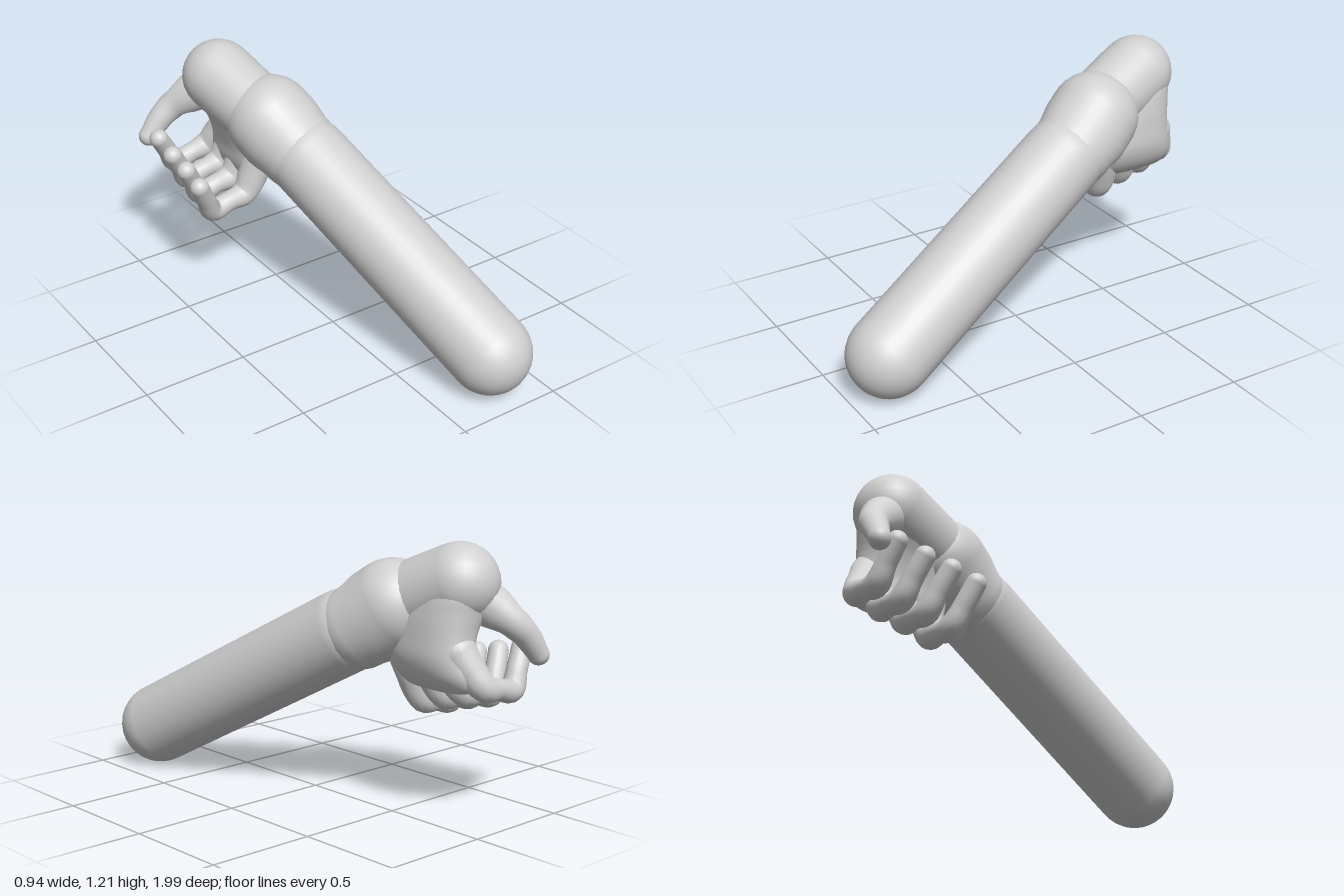
import * as THREE from 'three';
import { mergeGeometries } from 'three/addons/utils/BufferGeometryUtils.js';

const skin = new THREE.MeshStandardMaterial({ color: 0xd0d0d0 });
skin.name = 'light grey';

// Round-ended limb through [x, y, z, radius] points
function limb(name, points, segments = 24, sides = 24) {
  const centres = points.map(([x, y, z]) => new THREE.Vector3(x, y, z));
  const curve = new THREE.CatmullRomCurve3(centres, false, 'centripetal');
  const tube = new THREE.TubeGeometry(curve, segments, 1, sides, false);
  const pos = tube.attributes.position;
  const v = new THREE.Vector3();
  for (let i = 0; i <= segments; i++) {
    const u = curve.getUtoTmapping(i / segments) * (points.length - 1);
    const k = Math.min(Math.floor(u), points.length - 2);
    const r = THREE.MathUtils.lerp(points[k][3], points[k + 1][3], THREE.MathUtils.smoothstep(u - k, 0, 1));
    const c = curve.getPointAt(i / segments);
    for (let j = 0; j <= sides; j++) {
      const n = i * (sides + 1) + j;
      v.fromBufferAttribute(pos, n).sub(c).multiplyScalar(r).add(c);
      pos.setXYZ(n, v.x, v.y, v.z);
    }
  }
  const ends = [points[0], points[points.length - 1]].map(([x, y, z, r]) =>
    new THREE.SphereGeometry(r, sides, 16).translate(x, y, z));
  const mesh = new THREE.Mesh(mergeGeometries([tube, ...ends]), skin);
  mesh.name = name;
  return mesh;
}

// Palm lofted from elliptical sections: [y, centre x, centre z, half x, half z]
function palm() {
  const rows = [
    [1.10, -0.13, -0.73, 0.08, 0.09], [1.02, -0.125, -0.72, 0.15, 0.17],
    [0.92, -0.10, -0.69, 0.15, 0.19], [0.82, -0.07, -0.67, 0.13, 0.20],
    [0.72, -0.055, -0.665, 0.115, 0.215], [0.64, -0.065, -0.68, 0.095, 0.215],
    [0.585, -0.08, -0.69, 0.06, 0.18], [0.56, -0.09, -0.69, 0.005, 0.02],
  ];
  const curves = [1, 2, 3, 4].map(k =>
    new THREE.CatmullRomCurve3(rows.map(r => new THREE.Vector3(r[0], r[k], 0))));
  const sides = 36, steps = 36;
  const pos = [], idx = [];
  for (let i = 0; i <= steps; i++) {
    const [cx, cz, hx, hz] = curves.map(c => c.getPoint(i / steps).y);
    const y = curves[0].getPoint(i / steps).x;
    for (let j = 0; j < sides; j++) {
      const a = j / sides * Math.PI * 2;
      const bend = s => Math.sign(s) * Math.pow(Math.abs(s), 0.85);
      pos.push(cx + hx * bend(Math.cos(a)), y, cz + hz * bend(Math.sin(a)));
      if (i < steps) {
        const p = i * sides + j, q = i * sides + (j + 1) % sides;
        idx.push(p, q, p + sides, q, q + sides, p + sides);
      }
    }
  }
  const g = new THREE.BufferGeometry();
  g.setAttribute('position', new THREE.Float32BufferAttribute(pos, 3));
  g.setIndex(idx);
  g.computeVertexNormals();
  const mesh = new THREE.Mesh(g, skin);
  mesh.name = 'palm';
  return mesh;
}

export function createModel() {
  const model = new THREE.Group();
  model.name = 'arm';

  // Forearm and the slightly wider cuff
  model.add(limb('forearm', [[0.28, 0.19, 0.81, 0.19], [0.03, 0.77, -0.23, 0.19]], 12, 36));
  model.add(limb('cuff', [[0.01, 0.80, -0.30, 0.192], [-0.02, 0.86, -0.39, 0.208], [-0.042, 0.905, -0.45, 0.208]], 16, 36));

  // Hand, bent down at the wrist
  const hand = new THREE.Group();
  hand.name = 'hand';
  hand.add(limb('wrist', [[-0.08, 0.94, -0.52, 0.165], [-0.135, 1.035, -0.75, 0.172]], 12, 36));
  hand.add(palm());
  hand.add(limb('thumb', [
    [-0.14, 1.0, -0.77, 0.135], [-0.22, 0.94, -0.84, 0.095], [-0.30, 0.86, -0.915, 0.066],
    [-0.36, 0.80, -0.935, 0.058], [-0.425, 0.715, -0.945, 0.048],
  ]));

  // Curled fingers, little finger first: [base z, knuckle z, tip z, lift]
  const fingers = [
    [-0.53, -0.55, -0.485, 0], [-0.64, -0.67, -0.605, 0.04],
    [-0.74, -0.785, -0.73, 0.07], [-0.81, -0.90, -0.86, 0.11],
  ];
  fingers.forEach(([base, knuckle, tip, lift], i) => hand.add(limb('finger' + (i + 1), [
    [-0.06, 0.70 + lift * 0.5, base, 0.085],
    [-0.09, 0.59 + lift * 0.8, (base + knuckle) / 2, 0.072],
    [-0.135, 0.495 + lift, knuckle, 0.06],
    [-0.22, 0.475 + lift, knuckle, 0.048],
    [-0.315, 0.46 + lift, knuckle + 0.005, 0.055],
    [-0.365, 0.54 + lift, (knuckle + tip) / 2, 0.046],
    [-0.415, 0.64 + lift * 0.85, tip, 0.045],
  ], 36, 20)));
  model.add(hand);
  return model;
}
